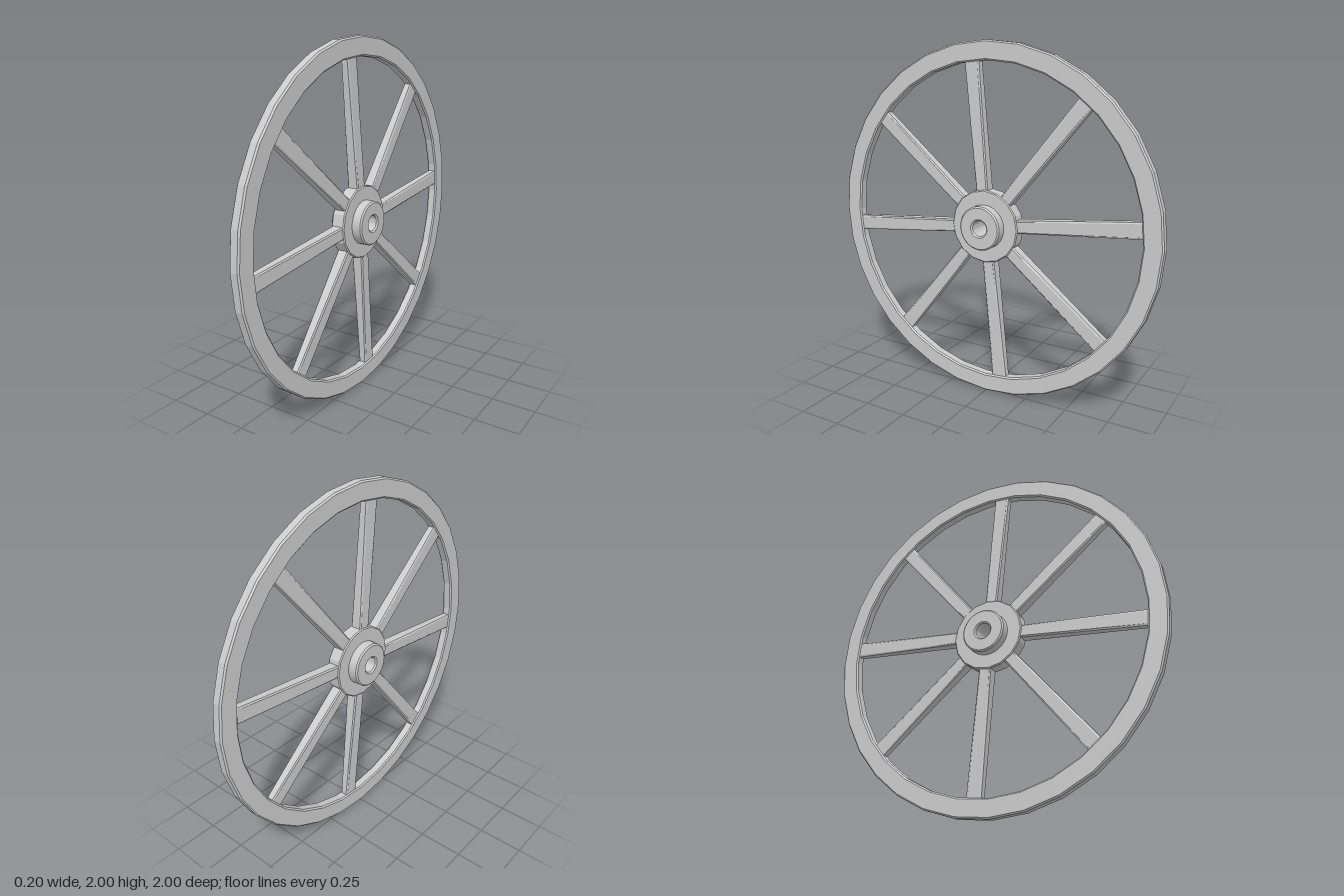
import * as THREE from 'three';
import { toCreasedNormals } from 'three/addons/utils/BufferGeometryUtils.js';

const flat = new THREE.MeshStandardMaterial({ color: 0xcccccc, flatShading: true });
const smooth = new THREE.MeshStandardMaterial({ color: 0xcccccc });

// Chamfered ring around the x axis: inner/outer radius, half thickness, chamfer
function ring(inner, outer, half, c, sides) {
  const profile = [
    [inner, -half + c], [inner + c, -half], [outer - c, -half], [outer, -half + c],
    [outer, half - c], [outer - c, half], [inner + c, half], [inner, half - c], [inner, -half + c],
  ].map(([r, y]) => new THREE.Vector2(r, y));
  return new THREE.LatheGeometry(profile, sides).rotateZ(-Math.PI / 2);
}

// Spoke along +y: chamfered section, widening and thinning towards the rim
function spokeGeometry(r0, r1) {
  const c = 0.2;
  const section = new THREE.Shape([
    [-1, -1 + c], [-1 + c, -1], [1 - c, -1], [1, -1 + c],
    [1, 1 - c], [1 - c, 1], [-1 + c, 1], [-1, 1 - c],
  ].map(([x, y]) => new THREE.Vector2(x, y)));
  const g = new THREE.ExtrudeGeometry(section, { depth: 1, bevelEnabled: false });
  g.rotateX(-Math.PI / 2);
  const p = g.attributes.position;
  for (let i = 0; i < p.count; i++) {
    const t = p.getY(i);
    const halfThick = THREE.MathUtils.lerp(0.035, 0.021, t);
    const halfWide = THREE.MathUtils.lerp(0.035, 0.044, t);
    p.setXYZ(i, p.getX(i) * halfThick, THREE.MathUtils.lerp(r0, r1, t), p.getZ(i) * halfWide);
  }
  g.computeVertexNormals();
  return g;
}

export function createModel() {
  const wheel = new THREE.Group();
  wheel.name = 'wheel';
  wheel.position.y = 1;

  const add = (name, geometry, material) => {
    const mesh = new THREE.Mesh(geometry, material);
    mesh.name = name;
    wheel.add(mesh);
    return mesh;
  };

  // Faceted rim
  add('rim', ring(0.895, 1, 0.029, 0.008, 32), flat);

  // Hub: wide flange and a longer bored barrel
  add('hubFlange', ring(0.1, 0.207, 0.04, 0.006, 16), flat);
  add('hubBarrel', toCreasedNormals(ring(0.044, 0.124, 0.098, 0.008, 32), 0.5), smooth);

  // Eight spokes, offset by half a rim segment
  const spoke = spokeGeometry(0.15, 0.91);
  for (let i = 0; i < 8; i++) {
    add('spoke' + (i + 1), spoke, flat).rotation.x = Math.PI / 32 + (i * Math.PI) / 4;
  }

  const model = new THREE.Group();
  model.name = 'spokedWheel';
  model.add(wheel);
  return model;
}
